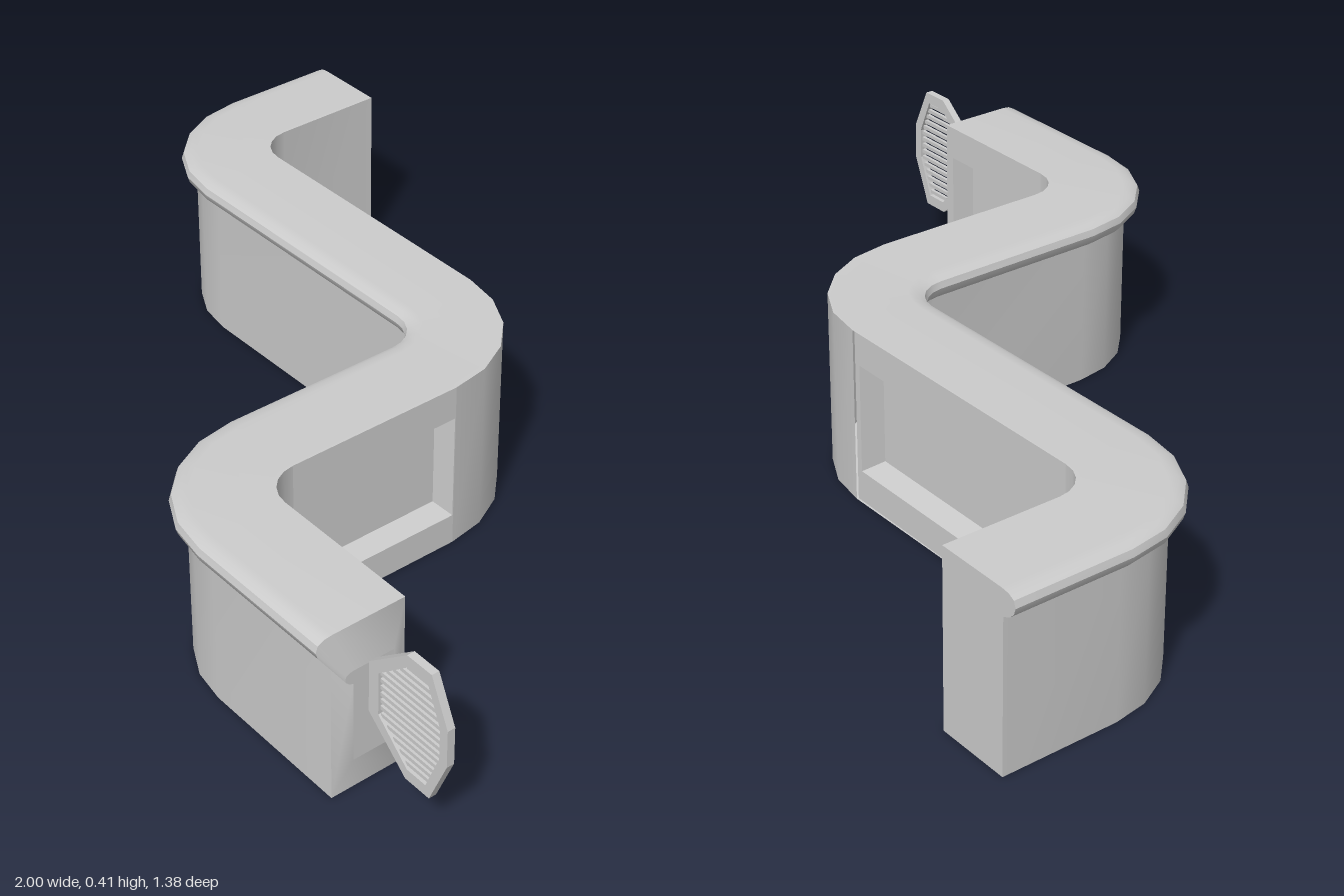
import * as THREE from 'three';
import { toCreasedNormals } from 'three/addons/utils/BufferGeometryUtils.js';

const H = 0.415;
const mat = new THREE.MeshStandardMaterial({ color: 0xcccccc, side: THREE.DoubleSide });

function mesh(name, geometry, parent) {
  const m = new THREE.Mesh(geometry, mat);
  m.name = name;
  parent.add(m);
  return m;
}

// A station is a point on the counter's back line plus the direction towards its front.
const station = (x, z, nx, nz, scale = 1) => ({ x, z, nx, nz, scale });

// Quarter turn about (cx, cz); side = 1 when the front is on the outside of the bend.
function bend(cx, cz, radius, from, to, side, steps = 5) {
  const out = [];
  for (let i = 0; i <= steps; i++) {
    const a = from + (to - from) * i / steps, c = Math.cos(a), s = Math.sin(a);
    out.push(station(cx + radius * c, cz + radius * s, side * c, side * s));
  }
  return out;
}

// Sweep a [depth, height] profile through the stations; scale shrinks about the section centre.
function sweep(profile, stations) {
  const pos = [], idx = [], w = profile.length;
  for (const s of stations) for (const [n, y] of profile) {
    const d = 0.095 + (n - 0.095) * s.scale;
    pos.push(s.x + s.nx * d, H / 2 + (y - H / 2) * s.scale, s.z + s.nz * d);
  }
  for (let i = 0; i < stations.length - 1; i++) for (let j = 0; j < w - 1; j++) {
    const a = i * w + j, b = a + 1, d = a + w, c = d + 1;
    idx.push(a, d, c, a, c, b);
  }
  const g = new THREE.BufferGeometry();
  g.setAttribute('position', new THREE.Float32BufferAttribute(pos, 3));
  g.setIndex(idx);
  return toCreasedNormals(g, 0.6);
}

const rect = (x0, x1, y0, y1) => [[x0, y0], [x1, y0], [x1, y1], [x0, y1]];
const toShape = (pts) => new THREE.Shape(pts.map(([x, y]) => new THREE.Vector2(x, y)));

// Straight back wall with a sunken panel, facing local +z.
function recessedWall(name, x0, x1, p0, p1, parent) {
  const g = new THREE.Group();
  g.name = name;
  const bevel = 0.01, depth = 0.055, y0 = 0.085, y1 = 0.325;
  const outer = rect(p0 - bevel, p1 + bevel, y0 - bevel, y1 + bevel);
  const inner = rect(p0, p1, y0, y1);
  const wall = toShape(rect(x0, x1, 0, H));
  wall.holes.push(toShape(outer));
  mesh('wallFace', new THREE.ShapeGeometry(wall), g);
  const pos = [];
  for (let i = 0; i < 4; i++) {
    const k = (i + 1) % 4;
    const a = [...outer[i], 0], b = [...outer[k], 0];
    const c = [...inner[k], -depth], d = [...inner[i], -depth];
    pos.push(...a, ...b, ...c, ...a, ...c, ...d);
  }
  const sides = new THREE.BufferGeometry();
  sides.setAttribute('position', new THREE.Float32BufferAttribute(pos, 3));
  sides.computeVertexNormals();
  mesh('recessSides', sides, g);
  mesh('recessPanel', new THREE.ShapeGeometry(toShape(inner)), g).position.z = -depth;
  parent.add(g);
  return g;
}

// Flat ring and slats of the paddle, mounted on the counter's end.
function paddle() {
  const g = new THREE.Group();
  g.name = 'slattedPaddle';
  const outline = [[0.77, 0.2], [0.88, 0.105], [0.95, 0.105], [0.998, 0.22],
    [0.998, 0.31], [0.95, 0.415], [0.88, 0.415], [0.77, 0.325]];
  const cx = 0.9, cy = 0.26;
  const inner = outline.map(([x, y]) => [cx + (x - cx) * 0.78, cy + (y - cy) * 0.83]);
  const ring = toShape(outline);
  ring.holes.push(toShape(inner));
  mesh('paddleFrame', new THREE.ExtrudeGeometry(ring, { depth: 0.018, bevelEnabled: false }), g)
    .position.z = 0.561;
  // Each slat spans the opening at its own height.
  const count = 15, low = inner[1][1], high = inner[5][1];
  for (let i = 0; i < count; i++) {
    const y = low + (high - low) * (i + 0.5) / count, xs = [];
    inner.forEach(([ax, ay], k) => {
      const [bx, by] = inner[(k + 1) % inner.length];
      if ((ay <= y) !== (by <= y)) xs.push(ax + (bx - ax) * (y - ay) / (by - ay));
    });
    const left = Math.min(...xs), right = Math.max(...xs);
    mesh('slat', new THREE.BoxGeometry(right - left, 0.009, 0.008), g)
      .position.set((left + right) / 2, y, 0.57);
  }
  return g;
}

export function createModel() {
  const model = new THREE.Group();
  model.name = 'windingCounter';
  const P = Math.PI;

  // Path of the counter: three quarter turns joined by straight runs.
  const first = bend(-0.7, -0.42, 0.085, P, P / 2, 1);
  const second = bend(0, -0.045, 0.295, -P / 2, 0, -1);
  const third = bend(0.38, 0.39, 0.085, P, P / 2, 1);
  const start = station(-0.785, -0.695, -1, 0);
  const end = station(0.75, 0.475, 0, 1);
  const path = [start, ...first, ...second, ...third, end];

  // Underside, front face, rounded lip and worktop in one sweep.
  const body = [[0, 0], [0.18, 0], [0.18, 0.355]];
  const lip = [[0.18, 0.355], [0.198, 0.363], [0.21, 0.375], [0.215, 0.39],
    [0.21, 0.405], [0.195, 0.413], [0.175, H], [0, H]];
  mesh('counterFront', sweep(body, path), model);
  mesh('worktop', sweep(lip, path), model);

  // Plain back wall around the turns and along the first run.
  const back = [[0, H], [0, 0]];
  [[start, ...first], second, third].forEach((s) => mesh('curvedBackWall', sweep(back, s), model));

  // Back walls with sunken panels on the other runs.
  const w2 = recessedWall('longBackWall', 0, 0.7, 0.025, 0.685, model);
  w2.rotation.y = P;
  w2.position.z = -0.335;
  const w3 = recessedWall('middleBackWall', -0.39, 0.045, -0.375, 0.033, model);
  w3.rotation.y = P / 2;
  w3.position.x = 0.295;
  const w4 = recessedWall('endBackWall', -0.75, -0.38, -0.715, -0.4, model);
  w4.rotation.y = P;
  w4.position.z = 0.475;

  // Flat cap at the start, chamfered cap at the paddle end.
  const section = [...body, ...lip.slice(1)];
  const startCap = mesh('startCap', new THREE.ShapeGeometry(toShape(section)), model);
  startCap.rotation.y = P;
  startCap.position.set(-0.785, 0, -0.695);
  const k = 0.55;
  mesh('endChamfer', sweep([...section, section[0]], [end, station(0.77, 0.475, 0, 1, k)]), model);
  const small = section.map(([n, y]) => [-(0.095 + (n - 0.095) * k), H / 2 + (y - H / 2) * k]);
  const endCap = mesh('endCap', new THREE.ShapeGeometry(toShape(small)), model);
  endCap.rotation.y = P / 2;
  endCap.position.set(0.77, 0, 0.475);

  model.add(paddle());
  return model;
}
